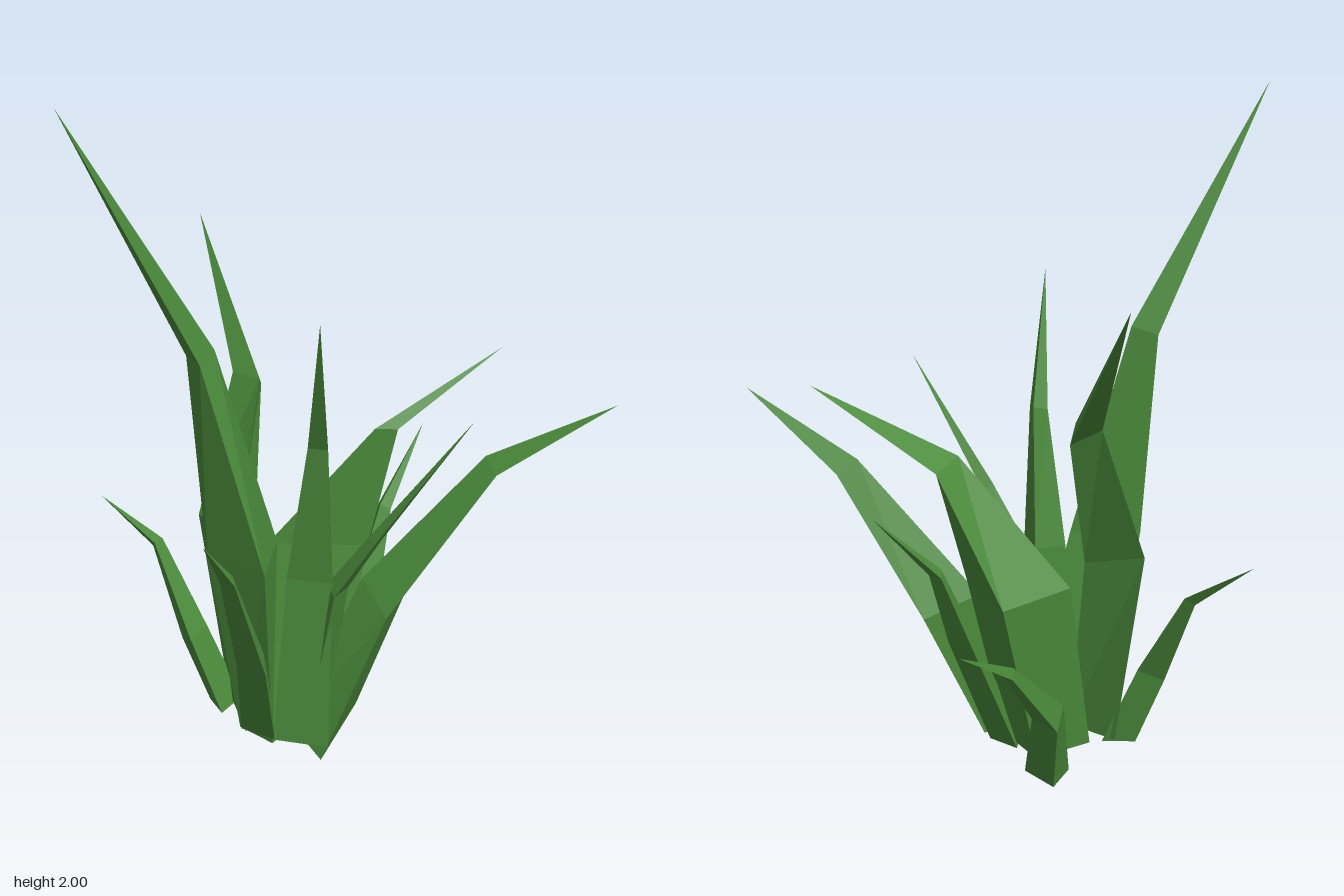
import * as THREE from 'three';

const leaf = new THREE.MeshStandardMaterial({ color: 0x4a8a3a, flatShading: true });

// Three-sided pointed blade. stations: [x, y, z, half width, ridge height, twist]
// yaw: direction of the blade's width; a negative ridge lies on the other face
function blade(name, yaw, stations, tip) {
  const apex = new THREE.Vector3(...tip);
  const centres = stations.map(([x, y, z]) => new THREE.Vector3(x, y, z));
  const path = [...centres, apex];

  const rings = stations.map(([, , , width, ridge, twist = 0], i) => {
    const side = new THREE.Vector3(Math.cos(yaw + twist), 0, Math.sin(yaw + twist));
    // The root is cut level, the rest square to the path
    const tangent = i ? path[i + 1].clone().sub(path[i - 1]) : new THREE.Vector3(0, 1, 0);
    const normal = tangent.cross(side).normalize();
    const w = width * Math.sign(ridge);
    return [
      centres[i].clone().addScaledVector(side, -w),
      centres[i].clone().addScaledVector(side, w),
      centres[i].clone().addScaledVector(normal, ridge),
    ];
  });

  const [root] = rings;
  const points = [root[0], root[2], root[1]];
  rings.forEach((ring, i) => {
    const next = rings[i + 1];
    for (let j = 0; j < 3; j++) {
      const k = (j + 1) % 3;
      if (next) points.push(ring[j], ring[k], next[k], ring[j], next[k], next[j]);
      else points.push(ring[j], ring[k], apex);
    }
  });

  const geometry = new THREE.BufferGeometry().setFromPoints(points);
  geometry.computeVertexNormals();
  const mesh = new THREE.Mesh(geometry, leaf);
  mesh.name = name;
  return mesh;
}

export function createModel() {
  const plant = new THREE.Group();
  plant.name = 'grassTuft';
  plant.add(
    // Tall blades
    blade('tallFrontBlade', 0.2, [
      [-0.06, 0.09, 0.26, 0.07, 0.29],
      [-0.09, 0.66, 0.31, 0.11, 0.19, -0.1],
      [-0.205, 1.27, 0.335, 0.05, 0.07, 0.35],
    ], [-0.36, 2, 0.68]),
    blade('tallBackRightBlade', 0.15, [
      [-0.2, 0.08, 0.16, 0.125, 0.12, 0.6],
      [-0.295, 0.67, 0.115, 0.11, 0.14, 0.25],
      [-0.345, 1.08, -0.12, 0.056, 0.08],
    ], [-0.76, 1.48, -0.46]),
    blade('tallFrontLeftBlade', -0.3, [
      [0.08, 0.09, 0.23, 0.085, 0.14],
      [0.075, 0.6, 0.17, 0.07, 0.07],
      [0.11, 1.02, 0.18, 0.03, 0.04],
    ], [0.2, 1.43, 0.31]),

    // Broad blades arching to the back
    blade('broadBackBlade', -0.5, [
      [-0.09, 0.05, 0, 0.13, 0.15],
      [-0.085, 0.57, -0.125, 0.155, 0.18],
      [0.09, 0.95, -0.24, 0.035, 0.11],
    ], [0.32, 1.17, -0.55]),
    blade('broadLeftBlade', 1.32, [
      [0.11, 0.06, 0.06, 0.18, -0.16],
      [0.195, 0.44, -0.145, 0.13, -0.13],
      [0.435, 0.86, -0.325, 0.048, -0.06],
    ], [0.75, 1.09, -0.44]),

    // Narrow outer blades
    blade('leftBlade', 1.5, [
      [0.07, 0.09, 0.14, 0.06, -0.08],
      [0.16, 0.57, 0.13, 0.045, -0.05],
      [0.275, 0.75, 0.12, 0.025, -0.03],
    ], [0.54, 1.15, 0.06]),
    blade('frontBlade', 0, [
      [-0.04, 0.11, 0.28, 0.06, 0.1],
      [0.03, 0.4, 0.41, 0.05, 0.07],
      [0.05, 0.73, 0.545, 0.025, 0.03],
    ], [0.08, 0.9, 0.69]),
    blade('rightBlade', 1.5, [
      [-0.25, 0.07, 0.12, 0.06, -0.08],
      [-0.35, 0.31, 0.15, 0.05, -0.07],
      [-0.52, 0.57, 0.12, 0.022, -0.03],
    ], [-0.72, 0.69, 0.15]),
    blade('backBlade', 0, [
      [0, 0.04, -0.1, 0.055, -0.08],
      [0, 0.4, -0.28, 0.05, -0.06],
      [0.01, 0.63, -0.37, 0.025, -0.03],
    ], [0.02, 0.85, -0.6]),
    blade('lowBackBlade', 0.2, [
      [-0.19, 0, -0.15, 0.07, -0.11],
      [-0.3, 0.23, -0.25, 0.06, -0.08],
      [-0.355, 0.45, -0.46, 0.022, -0.03],
    ], [-0.4, 0.58, -0.69]),
  );
  return plant;
}
